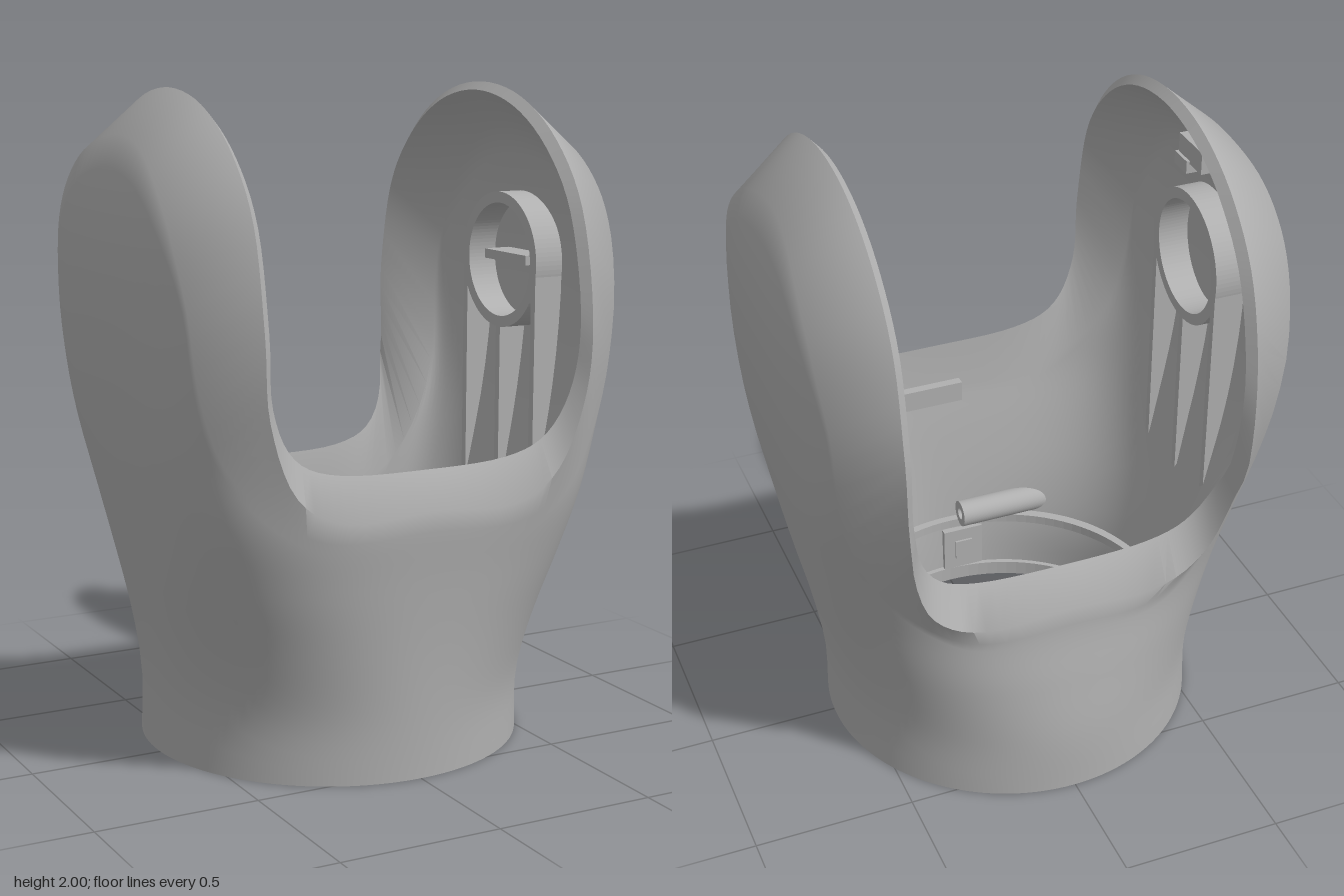
import * as THREE from 'three';
import { toCreasedNormals } from 'three/addons/utils/BufferGeometryUtils.js';

// Body profile sampled every 0.2 in height (depths above the saddle only set the cheek curvature)
const HALF_WIDTH = [.59, .59, .615, .655, .69, .725, .75, .762, .755, .715, .63];
const FRONT = [.565, .572, .585, .605, .63, .64, .72, .80, .80, .80, .80];
const BACK = [.615, .61, .585, .558, .572, .61, .71, .80, .80, .80, .80];
const SQUARENESS = [2, 2, 2.3, 2.8, 3.4, 3.8, 3.4, 3, 3, 3, 3];
const CHEEK_DEPTH = .63;

// Quarter of the rim from saddle centre to cheek top (first and last rows mirror their neighbours):
// base angle, shoulder angle, shoulder y, outer rim x y z, inner rim x y z
const RIM = [
  [105, 111.5, .75, -.27, .81, .625, -.27, .94, .568],
  [90, 90, .76, 0, .82, .63, 0, .93, .57],
  [75, 68.5, .75, .27, .81, .625, .27, .94, .568],
  [64, 57, .80, .43, .90, .617, .415, 1.0, .572],
  [54, 46, .95, .515, 1.12, .625, .49, 1.15, .59],
  [44, 38, 1.20, .53, 1.36, .625, .505, 1.36, .60],
  [34, 31, 1.55, .53, 1.65, .56, .505, 1.64, .535],
  [23, 24, 1.72, .53, 1.84, .42, .505, 1.82, .40],
  [11.5, 14, 1.83, .53, 1.96, .225, .505, 1.935, .215],
  [0, 0, 1.87, .53, 2, 0, .505, 1.975, 0],
  [-11.5, -14, 1.83, .53, 1.96, -.225, .505, 1.935, -.215],
];

function spline(values, t) {
  const last = values.length - 1;
  const i = Math.min(Math.floor(t), last - 1), f = t - i;
  const at = k => values[THREE.MathUtils.clamp(k, 0, last)];
  const [p, q, r, s] = [at(i - 1), at(i), at(i + 1), at(i + 2)];
  return q + .5 * f * (r - p + f * (2 * p - 5 * q + 4 * r - s + f * (3 * (q - r) + s - p)));
}

// Point on the rounded cross-section at height y, inset by the wall thickness
function section(angle, y, inset, sx, sz) {
  const t = y / .2, n = spline(SQUARENESS, t);
  const front = spline(FRONT, t), back = spline(BACK, t);
  const c = Math.max(0, Math.cos(angle)), s = Math.max(0, Math.sin(angle));
  const k = Math.pow(c ** n + s ** n, -1 / n);
  return [sx * (spline(HALF_WIDTH, t) - inset) * c * k, y,
    (front - back) / 2 + sz * ((front + back) / 2 - inset) * s * k];
}

// One column: up the outside, over the rim, and down the inside
function column(t, sx, sz) {
  const { degToRad, lerp, smoothstep } = THREE.MathUtils;
  const [base, shoulder, shoulderY, ...rim] = RIM[0].map((_, j) => spline(RIM.map(row => row[j]), t + 1));
  const rows = 20, points = [];
  // The back saddle dips lower and has a thicker wall
  const dip = y => sz < 0 ? 1 - smoothstep(y, .9, 1.4) : 0;
  const topY = shoulderY - .16 * dip(shoulderY);
  const thicker = .04 * dip(shoulderY) * Math.sin(degToRad(shoulder)) ** 2;
  const wall = (f, inset) => section(degToRad(lerp(base, shoulder, f)), topY * f, inset, sx, sz);
  for (let r = 0; r <= rows; r++) points.push(wall(r / rows, 0));
  for (const o of [0, 3]) {
    const y = rim[o + 1] - .16 * dip(rim[o + 1]);
    const depth = Math.min(CHEEK_DEPTH, spline(sz > 0 ? FRONT : BACK, Math.min(y, 2) / .2));
    const inward = o ? .03 * dip(rim[o + 1]) : 0;
    points.push([sx * rim[o], y, sz * (rim[o + 2] * depth / CHEEK_DEPTH - inward)]);
  }
  for (let r = rows; r >= 0; r--) points.push(wall(r / rows, .06 + thicker * (r / rows) ** 2));
  return points;
}

function shellGeometry() {
  const quarter = 40, columns = quarter * 4, positions = [], index = [];
  let rows = 0;
  for (let i = 0; i < columns; i++) {
    const m = (i % (2 * quarter)) / quarter;
    const sx = i < 2 * quarter ? 1 : -1;
    const sz = i <= quarter || i >= 3 * quarter ? 1 : -1;
    const points = column((m <= 1 ? m : 2 - m) * 8, sx, sz);
    rows = points.length;
    positions.push(...points.flat());
  }
  for (let i = 0; i < columns; i++) {
    for (let r = 0; r < rows; r++) {
      const i2 = (i + 1) % columns, r2 = (r + 1) % rows;
      const a = i * rows + r, b = i2 * rows + r, c = i2 * rows + r2, d = i * rows + r2;
      index.push(a, b, c, a, c, d);
    }
  }
  const geometry = new THREE.BufferGeometry();
  geometry.setAttribute('position', new THREE.Float32BufferAttribute(positions, 3));
  geometry.setIndex(index);
  return toCreasedNormals(geometry, .8);
}

// Flat ring with a hole, extruded along its axis
function ringGeometry(outer, inner, depth) {
  const shape = new THREE.Shape().absarc(0, 0, outer, 0, Math.PI * 2, false);
  shape.holes.push(new THREE.Path().absarc(0, 0, inner, 0, Math.PI * 2, true));
  return new THREE.ExtrudeGeometry(shape, { depth, bevelEnabled: false, curveSegments: 48 });
}

// Tube along x whose far end is cut on a slant to meet the curved wall
function pinTubeGeometry() {
  const geometry = ringGeometry(.045, .02, .36).rotateY(Math.PI / 2);
  const p = geometry.attributes.position;
  for (let i = 0; i < p.count; i++) {
    if (p.getX(i) < .01) p.setX(i, (p.getZ(i) + .045) * 1.5);
  }
  return geometry;
}

export function createModel() {
  const model = new THREE.Group();
  model.name = 'forkedHousing';
  const grey = new THREE.MeshStandardMaterial({ color: 0xb0b0b0 });
  grey.name = 'grey';
  const add = (parent, name, geometry, x = 0, y = 0, z = 0) => {
    const mesh = new THREE.Mesh(geometry, grey);
    mesh.name = name;
    mesh.position.set(x, y, z);
    parent.add(mesh);
  };

  add(model, 'shell', shellGeometry());

  // Lips on either side of the groove inside the collar
  for (const [y, height] of [[.002, .05], [.23, .03]]) {
    add(model, 'collarLip', ringGeometry(.55, .515, height).rotateX(-Math.PI / 2), 0, y, -.025);
  }
  add(model, 'collarLatch', new THREE.BoxGeometry(.14, .16, .03), -.05, .13, .505);
  add(model, 'latchTab', new THREE.BoxGeometry(.06, .07, .015), -.05, .13, .49);

  // Bearing ring and supporting ribs inside each cheek
  for (const side of [1, -1]) {
    const mount = new THREE.Group();
    mount.name = side > 0 ? 'leftMount' : 'rightMount';
    mount.rotation.y = side > 0 ? 0 : Math.PI;
    model.add(mount);
    add(mount, 'bearingRing', ringGeometry(.215, .18, .12).rotateY(Math.PI / 2), .6, 1.44, 0);
    for (const [z, top] of [[-.2, 1.44], [0, 1.25], [.2, 1.44]]) {
      const outline = new THREE.Shape([[.6, .66], [.625, .7], [.7, 1.1], [.72, top], [.6, top]]
        .map(p => new THREE.Vector2(...p)));
      const rib = new THREE.ExtrudeGeometry(outline, { depth: .024, bevelEnabled: false });
      add(mount, 'rib', rib, 0, 0, z - .012);
    }
  }
  add(model, 'ringBar', new THREE.BoxGeometry(.10, .03, .24), .66, 1.45, .02);

  // Small clip above the right ring
  add(model, 'clipBase', new THREE.BoxGeometry(.09, .07, .15), -.635, 1.80, -.02);
  add(model, 'clipHook', new THREE.BoxGeometry(.06, .04, .08), -.61, 1.755, .02);

  // Pin tube and ledge behind the front wall
  add(model, 'pinTube', pinTubeGeometry(), -.39, .3, .465);
  add(model, 'ledge', new THREE.BoxGeometry(.50, .07, .03), .19, .77, .525);

  return model;
}
